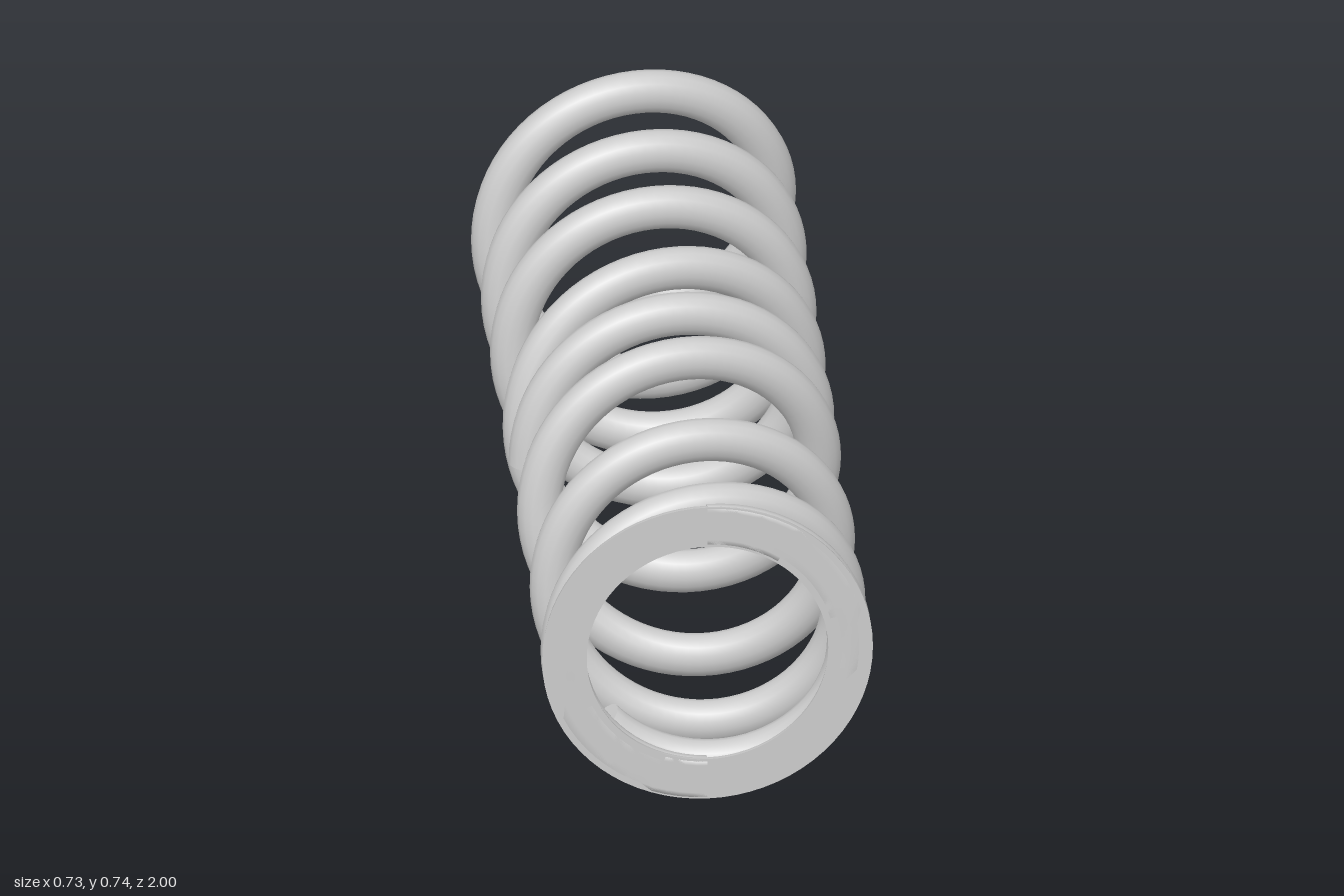
import * as THREE from 'three';
import { toCreasedNormals } from 'three/addons/utils/BufferGeometryUtils.js';

const RX = 0.314, RY = 0.321, CY = 0.372; // coil centreline
const WIRE_R = 0.049, WIRE_Z = 0.043;     // wire half thickness: radial, axial
const STEPS = 18, SIDES = 16;             // steps per quarter turn, wire sides

const material = new THREE.MeshStandardMaterial({ color: 0xcccccc });

// Piecewise curve through z values given once per quarter turn
function zAt(zs, q) {
  const i = Math.min(Math.floor(q), zs.length - 2), t = q - i;
  const p1 = zs[i], p2 = zs[i + 1];
  const p0 = zs[i - 1] ?? 2 * p1 - p2, p3 = zs[i + 2] ?? 2 * p2 - p1;
  return p1 + 0.5 * t * (p2 - p0 + t * (2 * p0 - 5 * p1 + 4 * p2 - p3 + t * (3 * (p1 - p2) + p3 - p0)));
}

// Wire wound from quarter turn `first` (0 bottom, 1 left side, 2 top, 3 right side);
// both ends of the spring are ground flat at z = -1 and z = 1
function coil(name, zs, first, skip = 0) {
  const pos = [], index = [];
  const n = Math.round((zs.length - 1 - skip) * STEPS);
  const addRing = (i) => {
    const start = pos.length / 3;
    const q = skip + i / STEPS, a = (first + q) * Math.PI / 2, z = zAt(zs, q);
    for (let j = 0; j < SIDES; j++) {
      const b = j / SIDES * Math.PI * 2, d = WIRE_R * Math.cos(b);
      pos.push((RX + d) * Math.sin(a), CY - (RY + d) * Math.cos(a),
        THREE.MathUtils.clamp(z + WIRE_Z * Math.sin(b), -1, 1));
    }
    return start;
  };
  for (let i = 0; i <= n; i++) addRing(i);
  for (let i = 0; i < n; i++) {
    for (let j = 0; j < SIDES; j++) {
      const a = i * SIDES + j, b = i * SIDES + (j + 1) % SIDES;
      index.push(a, a + SIDES, b, b, a + SIDES, b + SIDES);
    }
  }
  // Flat cut ends
  const s = addRing(0), e = addRing(n);
  for (let j = 1; j < SIDES - 1; j++) {
    index.push(s, s + j, s + j + 1, e, e + j + 1, e + j);
  }
  const geo = new THREE.BufferGeometry();
  geo.setAttribute('position', new THREE.Float32BufferAttribute(pos, 3));
  geo.setIndex(index);
  geo.computeVertexNormals();
  const mesh = new THREE.Mesh(geo, material);
  mesh.name = name;
  return mesh;
}

// Closed end ring: flat front, rounded back
function endRing() {
  const pts = [];
  for (let k = 0; k <= 10; k++) {
    const b = Math.PI * (1 + k / 10);
    pts.push(new THREE.Vector2(RX + WIRE_R * Math.cos(b), 1 + 0.04 * Math.sin(b)));
  }
  pts.push(pts[0].clone());
  let geo = new THREE.LatheGeometry(pts, 72);
  geo.rotateX(Math.PI / 2);
  geo.scale(1, (RY + WIRE_R) / (RX + WIRE_R), 1);
  geo.translate(0, CY, 0);
  geo = toCreasedNormals(geo, 0.7);
  const mesh = new THREE.Mesh(geo, material);
  mesh.name = 'endRing';
  return mesh;
}

export function createModel() {
  const group = new THREE.Group();
  group.name = 'coilSpring';
  // Main winding, one z per quarter turn
  group.add(coil('mainCoil', [
    -1.04, -0.95, -0.865, -0.80,
    -0.725, -0.68, -0.61, -0.55,
    -0.485, -0.43, -0.37, -0.32,
    -0.26, -0.20, -0.105, 0.0,
    0.105, 0.19, 0.28, 0.365,
    0.465, 0.545, 0.63, 0.685,
    0.75, 0.81, 0.905, 0.96, 0.99,
  ], 0));
  // Loose half turn in the middle
  group.add(coil('middleHalfCoil', [0.02, 0.088, 0.15], 1));
  // Free wire tail that runs into the end ring
  group.add(coil('endTail', [0.86, 0.92, 0.965, 0.995], -1, 0.5));
  group.add(endRing());
  return group;
}
